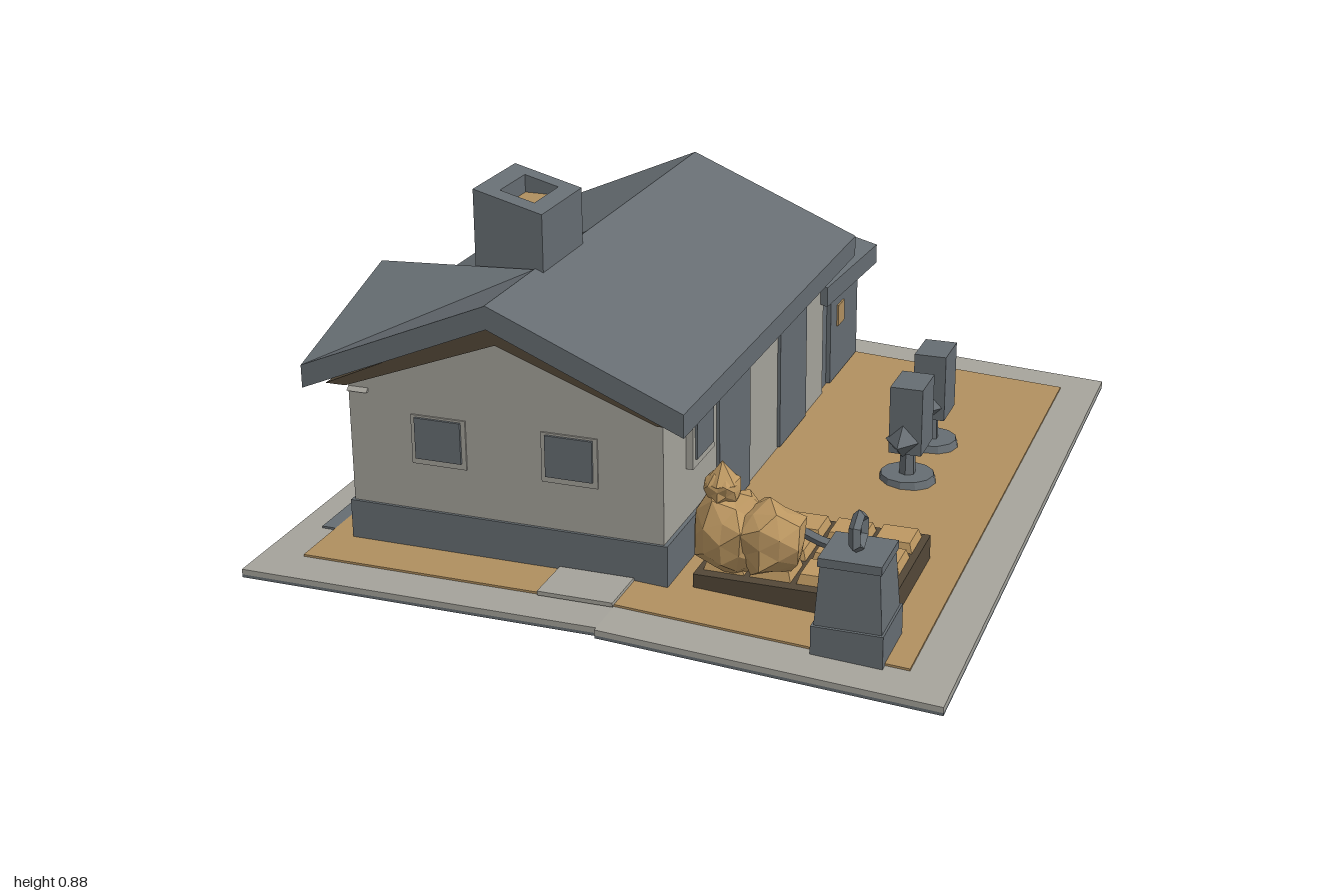
import * as THREE from 'three';

const color = (name, hex) => {
  const m = new THREE.MeshStandardMaterial({ color: hex });
  m.name = name;
  return m;
};

// Height of the paved ground: level beside the house, falling away to the left side
const ground = (x) => (x < 0.05 ? 0.065 : 0.065 - 0.045 * (x - 0.05) / 0.77);

// Closed slab below a loop of top corners
function slabGeometry(top, depth) {
  const v = top.map((p) => new THREE.Vector3(...p));
  const n = v[1].clone().sub(v[0]).cross(v[2].clone().sub(v[0]));
  if (n.y < 0) v.reverse();
  const pos = [], low = v.map((p) => new THREE.Vector3(p.x, p.y - depth, p.z));
  const tri = (a, b, c) => pos.push(...a, ...b, ...c);
  for (let i = 1; i < v.length - 1; i++) {
    tri(v[0], v[i], v[i + 1]);
    tri(low[0], low[i + 1], low[i]);
  }
  v.forEach((p, i) => {
    const j = (i + 1) % v.length;
    tri(p, low[i], low[j]);
    tri(p, low[j], v[j]);
  });
  const g = new THREE.BufferGeometry();
  g.setAttribute('position', new THREE.Float32BufferAttribute(pos, 3));
  return g;
}

// Front profile extruded along z
function profile(points, z0, z1) {
  const shape = new THREE.Shape(points.map((p) => new THREE.Vector2(...p)));
  return new THREE.ExtrudeGeometry(shape, { depth: z1 - z0, bevelEnabled: false }).translate(0, 0, z0);
}

// Faceted lump with a repeatable uneven surface
function lump(rx, ry, rz, seed) {
  const g = new THREE.IcosahedronGeometry(1, 1), p = g.attributes.position;
  for (let i = 0; i < p.count; i++) {
    const x = p.getX(i), y = p.getY(i), z = p.getZ(i);
    const k = 1 + 0.13 * Math.sin(7 * x + 5 * y + 9 * z + seed);
    p.setXYZ(i, x * k * rx, y * k * ry, z * k * rz);
  }
  return g;
}

export function createModel() {
  const slate = color('slate grey', 0x666d72);
  const stone = color('pale stone', 0xa5a39b);
  const earth = color('ochre ground', 0xb08f5f);
  const tan = color('tan', 0xbd9862);
  const brown = color('dark brown', 0x534838);
  const model = new THREE.Group();

  const add = (name, geometry, material, parent = model) => {
    const g = geometry.index ? geometry.toNonIndexed() : geometry;
    g.computeVertexNormals();
    const mesh = new THREE.Mesh(g, material);
    mesh.name = name;
    parent.add(mesh);
    return mesh;
  };
  const box = (name, x0, x1, y0, y1, z0, z1, material, parent) => add(name,
    new THREE.BoxGeometry(x1 - x0, y1 - y0, z1 - z0)
      .translate((x0 + x1) / 2, (y0 + y1) / 2, (z0 + z1) / 2), material, parent);
  const sheet = (name, x0, x1, z0, z1, lift, depth, material) => {
    const at = (x, z) => [x, ground(x) + lift, z];
    add(name, slabGeometry([at(x0, z1), at(x1, z1), at(x1, z0), at(x0, z0)], depth), material);
  };

  // Paving, its underside, and the yard surface
  for (const [x0, x1, z1] of [[-0.82, 0.05, 0.985], [0.05, 0.82, 0.995]]) {
    sheet('paving', x0, x1, -0.95, z1, 0, 0.013, stone);
    sheet('pavingBase', x0, x1, -0.95, z1, -0.013, 0.007, slate);
  }
  sheet('yardRight', -0.72, 0.05, -0.84, 0.88, 0.005, 0.008, earth);
  sheet('yardLeft', 0.05, 0.72, -0.84, 0.88, 0.005, 0.008, earth);
  sheet('frontStep', -0.13, 0.05, 0.76, 0.89, 0.013, 0.01, stone);
  sheet('sideDrain', -0.755, -0.72, -0.47, 0.73, 0.005, 0.008, slate);
  sheet('rearStep', -0.56, 0.05, -0.99, -0.93, 0, 0.02, stone);

  // Main house walls and plinth
  add('houseWalls', profile([[-0.65, 0.05], [0.12, 0.05], [0.12, 0.47], [-0.27, 0.63], [-0.65, 0.47]],
    -0.49, 0.75), stone);
  box('plinth', -0.658, 0.0, 0.05, 0.165, -0.498, 0.757, slate);
  box('plinthCorner', -0.01, 0.13, 0.05, 0.165, 0.4, 0.757, slate);
  add('gableTrim', profile([[-0.7, 0.455], [-0.65, 0.455], [-0.27, 0.597], [0.11, 0.455], [0.17, 0.455],
    [-0.27, 0.65]], -0.5, 0.765), brown);

  // Main roof: one full slope and one that stops at the cross gable
  const slope = (name, pts, depth = 0.055) => add(name, slabGeometry(pts, depth), slate);
  slope('roofLeft', [[-0.27, 0.705, 0.81], [0.19, 0.51, 0.81], [0.19, 0.51, -0.55], [-0.27, 0.705, -0.55]]);
  slope('roofRight', [[-0.72, 0.51, 0.23], [-0.27, 0.705, 0.23], [-0.27, 0.705, -0.55], [-0.72, 0.51, -0.55]]);
  slope('crossRoofBack', [[-0.27, 0.704, 0.54], [-0.27, 0.704, 0.23], [-0.74, 0.51, 0.23], [-0.66, 0.685, 0.54]]);
  slope('crossRoofFront', [[-0.27, 0.704, 0.54], [-0.66, 0.685, 0.54], [-0.735, 0.51, 0.81], [-0.27, 0.704, 0.81]]);
  add('crossGableWall', profile([[-0.76, 0.44], [-0.26, 0.44], [-0.54, 0.645]], -0.65, -0.6)
    .rotateY(Math.PI / 2), stone);

  // Chimney with an open, slanted top
  const stack = new THREE.Shape([[-0.42, 0.3], [-0.25, 0.3], [-0.25, 0.535], [-0.42, 0.535]]
    .map((p) => new THREE.Vector2(...p)));
  stack.holes.push(new THREE.Path([[-0.375, 0.345], [-0.375, 0.485], [-0.29, 0.485], [-0.29, 0.345]]
    .map((p) => new THREE.Vector2(...p))));
  const chimney = new THREE.ExtrudeGeometry(stack, { depth: 0.3, bevelEnabled: false })
    .rotateX(Math.PI / 2).scale(1, 1, 1).translate(0, 0.88, 0);
  const cp = chimney.attributes.position;
  for (let i = 0; i < cp.count; i++) {
    if (cp.getY(i) > 0.8) cp.setY(i, 0.88 - 0.045 * (cp.getX(i) + 0.42) / 0.17);
  }
  add('chimney', chimney, slate);
  box('chimneyFlue', -0.38, -0.285, 0.7, 0.825, 0.34, 0.49, earth);

  // Windows and doors on the three exposed walls
  const frontWindow = (x) => {
    box('frontWindowFrame', x - 0.068, x + 0.068, 0.28, 0.4, 0.74, 0.754, stone);
    box('frontWindow', x - 0.057, x + 0.057, 0.295, 0.395, 0.75, 0.76, slate);
  };
  [-0.425, -0.103].forEach(frontWindow);
  box('sideWindowFrame', 0.11, 0.137, 0.29, 0.42, 0.46, 0.605, stone);
  box('sideWindow', 0.13, 0.142, 0.31, 0.405, 0.475, 0.59, slate);
  box('frontDoor', 0.11, 0.128, 0.07, 0.4, 0.165, 0.395, slate);
  box('sideDoor', 0.11, 0.128, 0.07, 0.4, -0.31, -0.08, slate);
  for (const [z0, z1] of [[-0.34, -0.21], [-0.2, -0.07], [0.49, 0.61]]) {
    box('rightWindowFrame', -0.664, -0.64, 0.25, 0.375, z0, z1, stone);
    box('rightWindow', -0.669, -0.66, 0.265, 0.36, z0 + 0.015, z1 - 0.015, slate);
  }

  // Rear annex with its own sagging roof
  add('annexWalls', profile([[-0.43, 0.04], [0.11, 0.04], [0.11, 0.31], [-0.23, 0.41], [-0.43, 0.33]],
    -0.86, -0.46), slate);
  box('annexDoor', 0.1, 0.122, 0.07, 0.32, -0.83, -0.56, slate);
  box('annexDoorWindow', 0.12, 0.127, 0.22, 0.28, -0.68, -0.62, earth);
  box('annexSideDoor', -0.438, -0.42, 0.07, 0.32, -0.78, -0.6, slate);
  box('annexSideWindow', -0.443, -0.437, 0.22, 0.28, -0.72, -0.66, earth);
  slope('annexRoofLeft', [[-0.24, 0.495, -0.46], [-0.24, 0.455, -0.97], [0.14, 0.355, -0.97], [0.14, 0.385, -0.46]]);
  slope('annexRoofRight', [[-0.24, 0.495, -0.46], [-0.24, 0.455, -0.97], [-0.48, 0.355, -0.97], [-0.46, 0.385, -0.46]]);
  box('rearBin', -0.49, 0.05, 0.04, 0.26, -1, -0.85, slate);

  // Two free-standing boards on round feet
  for (const z of [-0.05, -0.295]) {
    const stand = new THREE.Group();
    stand.name = 'standingBoard';
    stand.position.set(0.475, 0.04, z);
    model.add(stand);
    add('foot', new THREE.CylinderGeometry(0.068, 0.074, 0.02, 12).translate(0, 0.012, 0), slate, stand);
    add('post', new THREE.CylinderGeometry(0.018, 0.022, 0.1, 6).translate(0, 0.06, 0), slate, stand);
    box('board', -0.035, 0.048, 0.095, 0.27, -0.06, 0.06, slate, stand);
    for (const s of [-1, 1]) {
      add('sideArm', new THREE.CylinderGeometry(0, 0.045, 0.06, 4).rotateX(s * Math.PI / 2)
        .translate(0, 0.13, s * 0.085), slate, stand);
    }
  }

  // Raised bed with rows of tan blocks
  box('bedFrame', 0.18, 0.635, 0.035, 0.095, 0.36, 0.73, brown);
  for (let i = 0; i < 4; i++) {
    for (let j = 0; j < 3; j++) {
      const x = 0.193 + i * 0.109, z = 0.37 + j * 0.115;
      add('bedBlock', new THREE.CylinderGeometry(0.058, 0.073, 0.035, 4).rotateY(Math.PI / 4)
        .translate(x + 0.05, 0.1, z + 0.054), tan);
    }
  }

  // Seated lumpy figure with a dark tool across it
  add('figureBody', lump(0.085, 0.1, 0.09, 1).translate(0.255, 0.19, 0.68), tan);
  add('figureLap', lump(0.085, 0.085, 0.085, 3).translate(0.345, 0.19, 0.68), tan);
  add('figureLegs', lump(0.08, 0.04, 0.1, 5).translate(0.3, 0.13, 0.6), tan);
  add('figureHead', lump(0.04, 0.04, 0.045, 2).translate(0.238, 0.3, 0.69), tan);
  add('figureHat', new THREE.ConeGeometry(0.042, 0.05, 6).translate(0.238, 0.34, 0.695), tan);
  const path = new THREE.CatmullRomCurve3([[0.2, 0.17, 0.5], [0.3, 0.2, 0.57], [0.44, 0.17, 0.62], [0.61, 0.13, 0.61]]
    .map((p) => new THREE.Vector3(...p)));
  add('tool', new THREE.TubeGeometry(path, 8, 0.013, 5), slate);

  // Corner pedestal with an upright ring
  box('pedestalBase', 0.505, 0.665, 0.02, 0.105, 0.735, 0.9, slate);
  add('pedestal', new THREE.CylinderGeometry(0.092, 0.107, 0.16, 4).rotateY(Math.PI / 4)
    .translate(0.585, 0.175, 0.818), slate);
  box('pedestalCap', 0.515, 0.655, 0.24, 0.26, 0.748, 0.888, slate);
  add('ring', new THREE.TorusGeometry(0.038, 0.013, 4, 6).rotateZ(Math.PI / 6).rotateY(Math.PI / 2)
    .translate(0.585, 0.302, 0.82), slate);

  return model;
}
